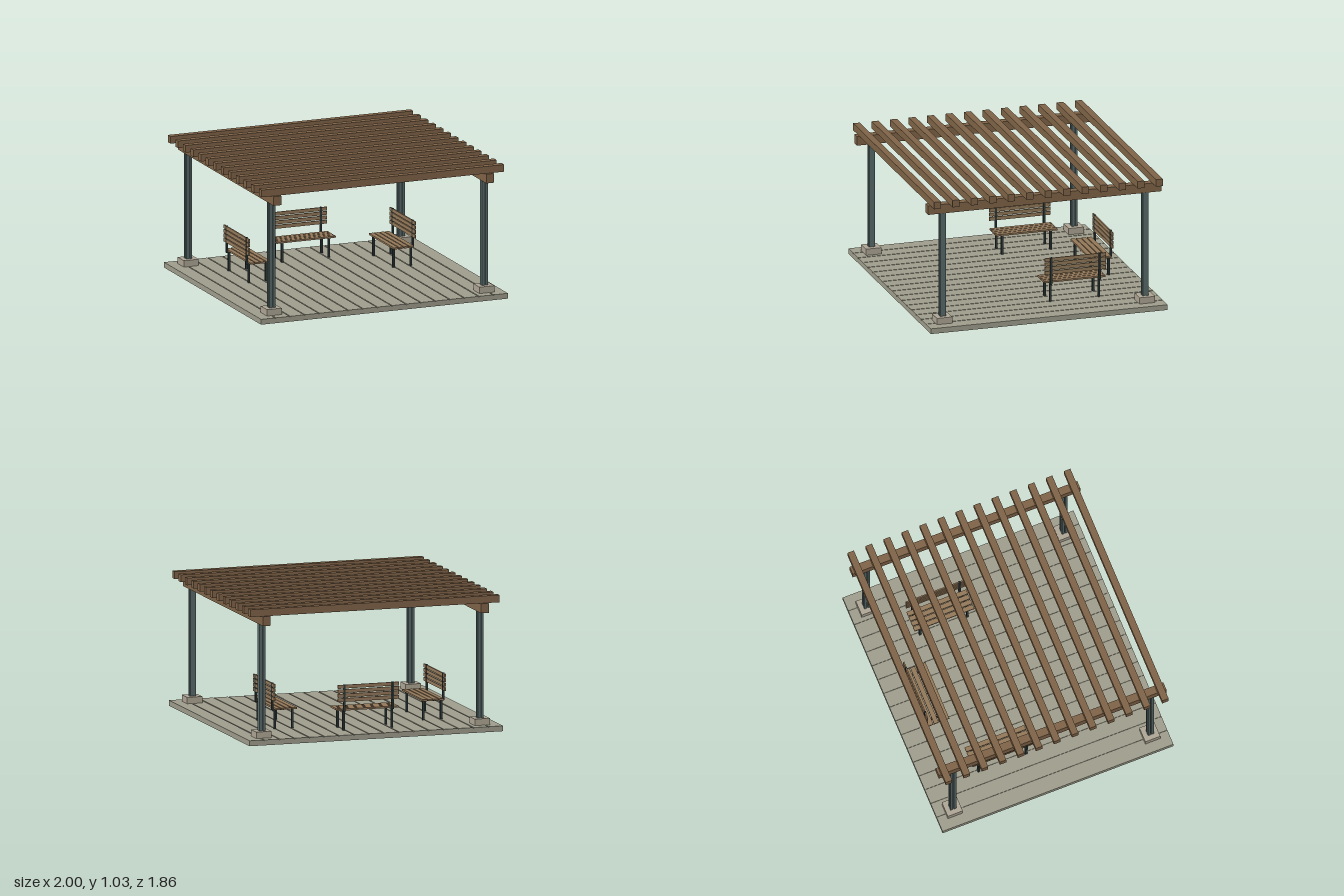
import * as THREE from 'three';

const paint = (color) => new THREE.MeshStandardMaterial({ color });
const timber = paint(0x7f6347);
const slatWood = paint(0x94795a);
const deckWood = paint(0x9f9d8c);
const concrete = paint(0xaea695);
const steel = paint(0x596a6a);
const darkSteel = paint(0x2e3939);

// Box given by its lower and upper corner
function block(parent, name, material, [x0, y0, z0], [x1, y1, z1]) {
  const mesh = new THREE.Mesh(new THREE.BoxGeometry(x1 - x0, y1 - y0, z1 - z0), material);
  mesh.position.set((x0 + x1) / 2, (y0 + y1) / 2, (z0 + z1) / 2);
  mesh.name = name;
  parent.add(mesh);
  return mesh;
}

// Deck: a slab with boards running front to back
function createDeck() {
  const deck = new THREE.Group();
  deck.name = 'deck';
  block(deck, 'deckBase', deckWood, [-1, 0.007, -0.928], [1, 0.042, 0.928]);
  const count = 17, pitch = 2 / count, gap = 0.004;
  for (let i = 0; i < count; i++) {
    const x = -1 + i * pitch;
    block(deck, 'deckBoard', deckWood,
      [x + (i ? gap : 0), 0.042, -0.928],
      [x + pitch - (i < count - 1 ? gap : 0), 0.048, 0.928]);
  }
  return deck;
}

// Post: concrete footing and four steel bars around a recessed core
function createPost(x, z) {
  const post = new THREE.Group();
  post.name = 'post';
  post.position.set(x, 0, z);
  block(post, 'footing', concrete, [-0.06, 0, -0.06], [0.06, 0.097, 0.06]);
  block(post, 'postCore', steel, [-0.015, 0.097, -0.015], [0.015, 0.908, 0.015]);
  for (const sx of [-1, 1]) for (const sz of [-1, 1]) {
    const bar = block(post, 'postBar', steel, [-0.0095, 0.097, -0.0095], [0.0095, 0.908, 0.0095]);
    bar.position.x = sx * 0.0135;
    bar.position.z = sz * 0.0135;
  }
  return post;
}

// Bench facing +z, with the back of its frame at z = 0
function createBench(name) {
  const bench = new THREE.Group();
  bench.name = name;
  for (const x of [-0.19, 0.19]) {
    const a = x - 0.008, b = x + 0.008;
    block(bench, 'backLeg', darkSteel, [a, 0.048, 0.016], [b, 0.198, 0.032]);
    block(bench, 'frontLeg', darkSteel, [a, 0.048, 0.156], [b, 0.198, 0.172]);
    block(bench, 'seatRail', darkSteel, [a, 0.19, 0], [b, 0.199, 0.175]);
    block(bench, 'backUpright', darkSteel, [a, 0.19, 0], [b, 0.398, 0.014]);
  }
  for (let i = 0; i < 4; i++) {
    const z = 0.018 + i * 0.0425;
    block(bench, 'seatSlat', slatWood, [-0.24, 0.198, z], [0.24, 0.211, z + 0.036]);
    const y = 0.267 + i * 0.0337;
    block(bench, 'backSlat', slatWood, [-0.24, y, 0.002], [0.24, y + 0.027, 0.012]);
  }
  return bench;
}

// Roof: two long beams carrying evenly spaced rafters
function createRoof() {
  const roof = new THREE.Group();
  roof.name = 'roof';
  for (const x of [-0.861, 0.861]) {
    block(roof, 'beam', timber, [x - 0.031, 0.908, -0.915], [x + 0.031, 0.979, 0.915]);
  }
  for (let i = 0; i < 13; i++) {
    const z = -0.87 + i * 0.145;
    block(roof, 'rafter', timber, [-0.983, 0.979, z - 0.026], [0.983, 1.034, z + 0.026]);
  }
  return roof;
}

export function createModel() {
  const model = new THREE.Group();
  model.name = 'pergola';
  model.add(createDeck(), createRoof());
  for (const x of [-0.861, 0.861]) for (const z of [-0.794, 0.794]) model.add(createPost(x, z));

  // Benches at the back and on both sides, facing inward
  const backBench = createBench('backBench');
  backBench.position.z = -0.75;
  model.add(backBench);
  for (const side of [-1, 1]) {
    const bench = createBench(side > 0 ? 'leftBench' : 'rightBench');
    bench.position.set(side * 0.68, 0, -0.31);
    bench.rotation.y = -side * Math.PI / 2;
    model.add(bench);
  }
  return model;
}
